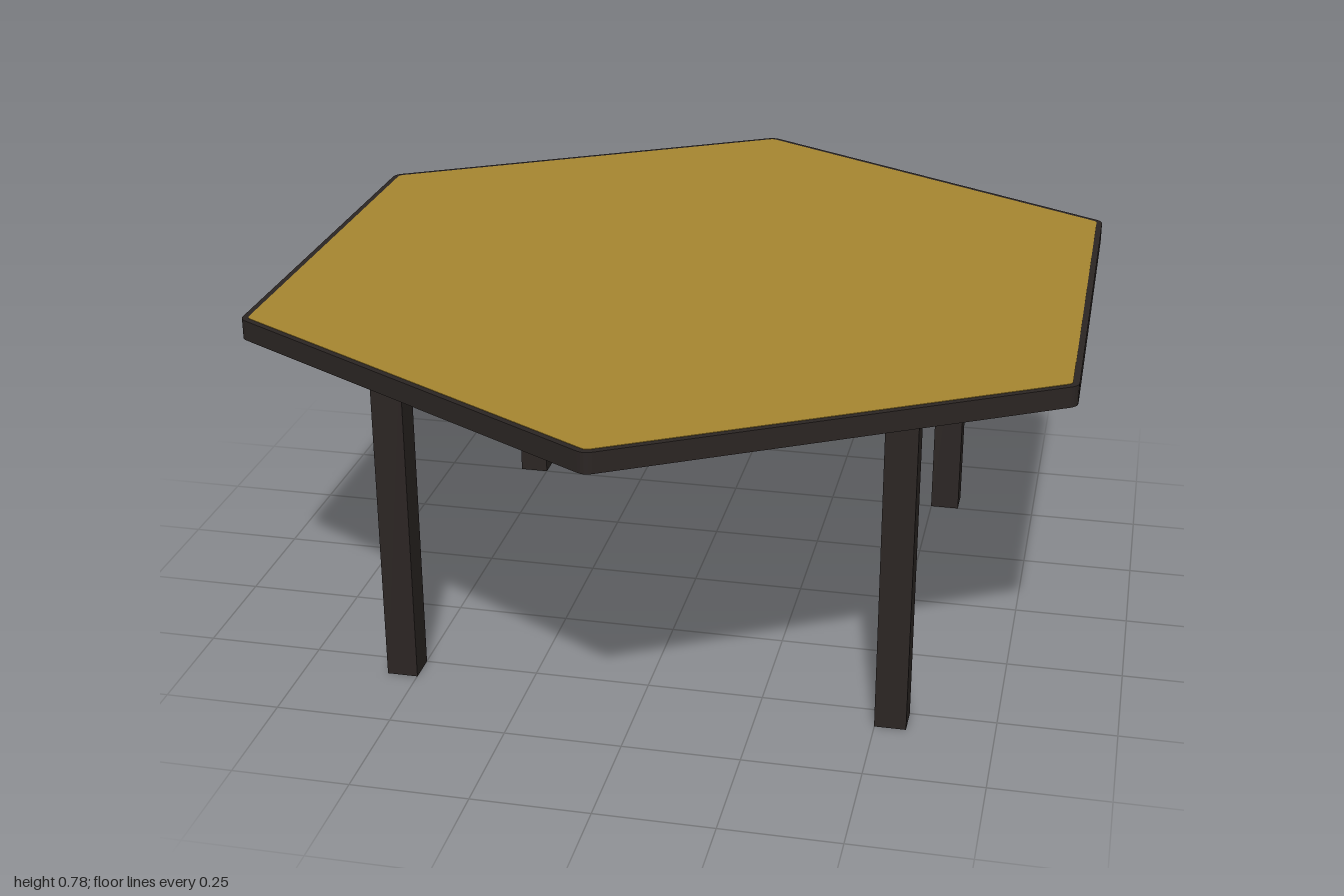
import * as THREE from 'three';

const TOP = 0.78, THICK = 0.045, LEG = 0.067, LEG_POS = 0.533;

// Hexagon with a corner at each end of z and slightly rounded corners
function hexShape(radius, cut) {
  const corner = (i) => {
    const a = Math.PI / 2 + (i * Math.PI) / 3;
    return new THREE.Vector2(Math.cos(a) * radius, Math.sin(a) * radius);
  };
  const shape = new THREE.Shape();
  for (let i = 0; i < 6; i++) {
    const c = corner(i);
    const a = c.clone().lerp(corner(i - 1), cut);
    const b = c.clone().lerp(corner(i + 1), cut);
    if (i === 0) shape.moveTo(a.x, a.y);
    else shape.lineTo(a.x, a.y);
    shape.quadraticCurveTo(c.x, c.y, b.x, b.y);
  }
  shape.closePath();
  return shape;
}

// Flat hexagonal plate between two heights
function plate(name, radius, cut, y0, y1, material) {
  const geometry = new THREE.ExtrudeGeometry(hexShape(radius, cut), {
    depth: y1 - y0, bevelEnabled: false, curveSegments: 4,
  });
  geometry.rotateX(-Math.PI / 2);
  const mesh = new THREE.Mesh(geometry, material);
  mesh.name = name;
  mesh.position.y = y0;
  return mesh;
}

export function createModel() {
  const table = new THREE.Group();
  table.name = 'hexagonalTable';
  const dark = new THREE.MeshStandardMaterial({ color: 0x2b2523 });
  const wood = new THREE.MeshStandardMaterial({ color: 0xa68630 });

  // Dark slab, with the wooden surface leaving a thin rim
  table.add(plate('tabletop', 1.002, 0.016, TOP - THICK, TOP - 0.001, dark));
  table.add(plate('topSurface', 0.987, 0.01, TOP - 0.001, TOP, wood));

  // Four square legs
  const legHeight = TOP - THICK;
  const legGeometry = new THREE.BoxGeometry(LEG, legHeight, LEG);
  for (const [z, end] of [[1, 'front'], [-1, 'back']]) {
    for (const [x, side] of [[1, 'Left'], [-1, 'Right']]) {
      const leg = new THREE.Mesh(legGeometry, dark);
      leg.name = `${end}${side}Leg`;
      leg.position.set(x * LEG_POS, legHeight / 2, z * LEG_POS);
      table.add(leg);
    }
  }
  return table;
}
